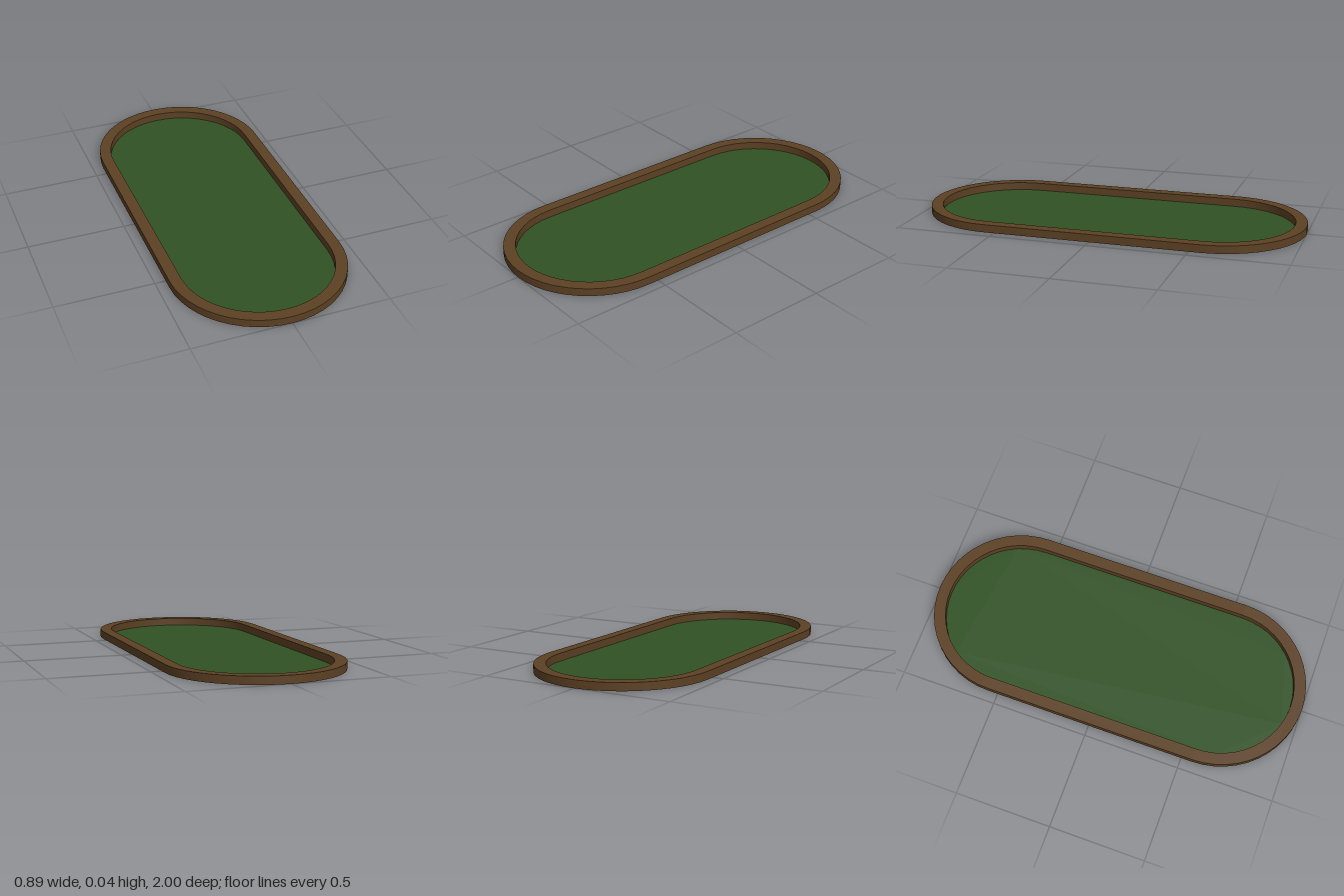
import * as THREE from 'three';
import { toCreasedNormals } from 'three/addons/utils/BufferGeometryUtils.js';

const END = 0.555; // centre of each rounded end along z
const HEIGHT = 0.04;
const SEGMENTS = 12; // facets per half-round end

// Stadium outline: two half circles joined by straight sides
function trace(path, radius) {
  path.absarc(0, END, radius, 0, Math.PI, false);
  path.absarc(0, -END, radius, Math.PI, Math.PI * 2, false);
  path.closePath();
  return path;
}

export function createModel() {
  const group = new THREE.Group();
  group.name = 'ovalTray';

  // Raised wooden rim
  const rimShape = trace(new THREE.Shape(), 0.445);
  rimShape.holes.push(trace(new THREE.Path(), 0.385));
  const rimGeometry = new THREE.ExtrudeGeometry(rimShape, {
    depth: HEIGHT, bevelEnabled: false, curveSegments: SEGMENTS,
  });
  rimGeometry.rotateX(-Math.PI / 2);
  const rim = new THREE.Mesh(
    toCreasedNormals(rimGeometry, Math.PI / 6),
    new THREE.MeshStandardMaterial({ color: 0x5c4023 })
  );
  rim.name = 'rim';
  group.add(rim);

  // Thin green floor, seen from above and below
  const floorGeometry = new THREE.ShapeGeometry(trace(new THREE.Shape(), 0.385), SEGMENTS);
  floorGeometry.rotateX(-Math.PI / 2);
  const floor = new THREE.Mesh(
    floorGeometry,
    new THREE.MeshStandardMaterial({ color: 0x305224, side: THREE.DoubleSide })
  );
  floor.name = 'floor';
  group.add(floor);

  return group;
}
